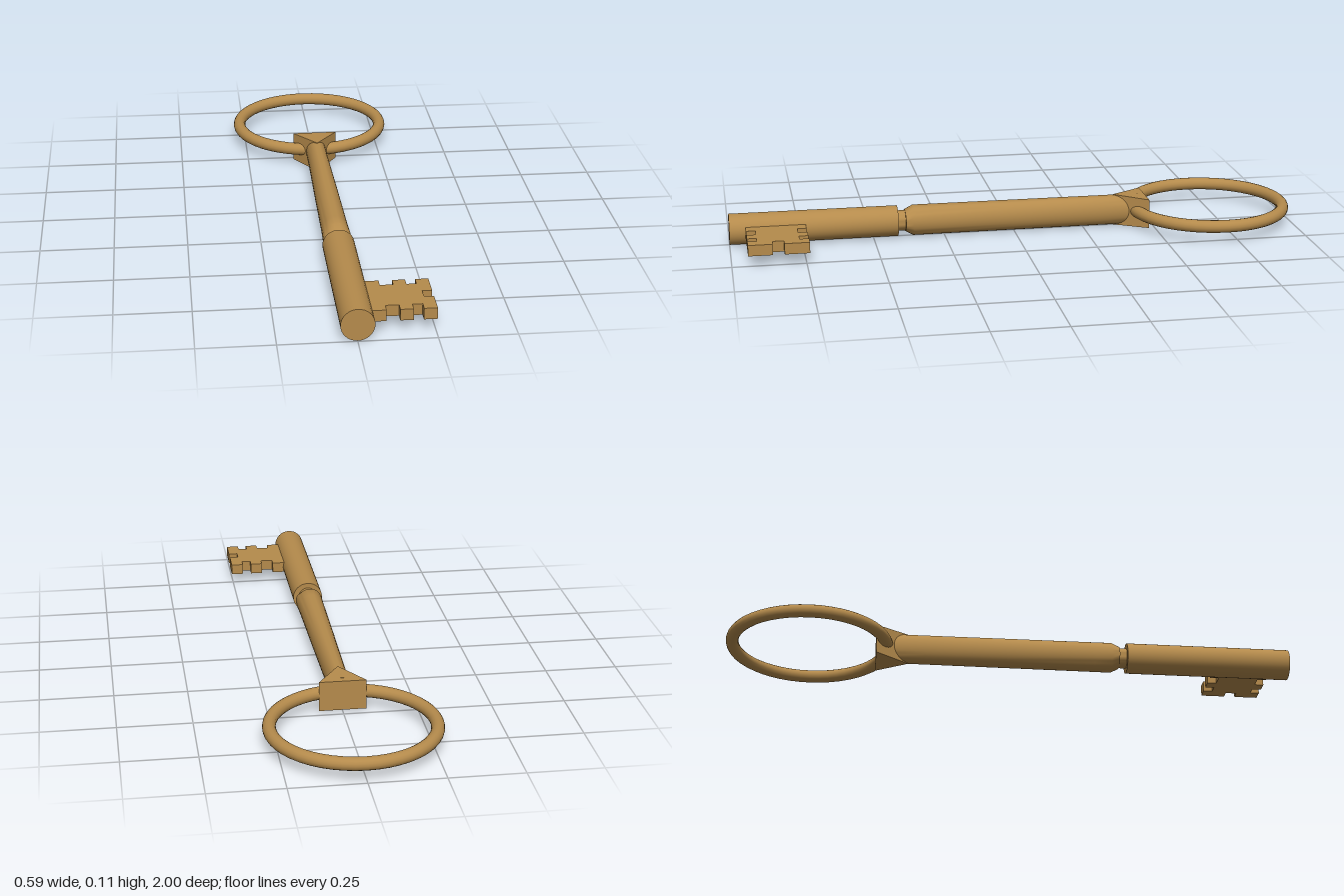
import * as THREE from 'three';
import { toCreasedNormals } from 'three/addons/utils/BufferGeometryUtils.js';

const AXIS_Y = 0.056; // height of the key's centre line

export function createModel() {
  const key = new THREE.Group();
  key.name = 'key';
  const brass = new THREE.MeshStandardMaterial({ color: 0xb58b4c });
  brass.name = 'brass';

  const add = (name, geometry, y = AXIS_Y, z = 0) => {
    const mesh = new THREE.Mesh(geometry, brass);
    mesh.name = name;
    mesh.position.set(0, y, z);
    key.add(mesh);
  };

  // Round rod along z from [z, half width, half height] sections, capped at both ends
  const rod = (sections) => {
    const first = sections[0], last = sections[sections.length - 1];
    const rows = [[first[0], 0, 0], ...sections, [last[0], 0, 0]];
    const geo = new THREE.LatheGeometry(rows.map(([z, , h]) => new THREE.Vector2(h, z)), 32);
    geo.rotateX(Math.PI / 2);
    const p = geo.attributes.position;
    for (let i = 0; i < p.count; i++) {
      const [, w, h] = rows[i % rows.length];
      if (h > 0) p.setX(i, p.getX(i) * w / h);
    }
    return toCreasedNormals(geo, 0.6);
  };

  // Flat plate from an [x, z] outline, centred on y = 0
  const plate = (outline, thickness) => {
    const shape = new THREE.Shape(outline.map(([x, z]) => new THREE.Vector2(x, z)));
    const geo = new THREE.ExtrudeGeometry(shape, { depth: thickness, bevelEnabled: false });
    geo.rotateX(Math.PI / 2);
    geo.translate(0, thickness / 2, 0);
    return geo;
  };

  // Front barrel, narrow neck and the flattened, tapering shank
  add('barrel', rod([[0.415, 0.054, 0.054], [1, 0.054, 0.054]]));
  add('neck', rod([[0.37, 0.034, 0.036], [0.43, 0.034, 0.036]]));
  add('shank', rod([
    [-0.45, 0.036, 0.054], [-0.3, 0.037, 0.054], [0, 0.042, 0.054],
    [0.3, 0.046, 0.054], [0.36, 0.048, 0.054], [0.388, 0.048, 0.038],
  ]));

  // Wedge gripping the ring, slightly taller at its forward edge
  const wedge = plate([[-0.08, -0.475], [0.08, -0.475], [0, -0.36]], 0.104);
  const p = wedge.attributes.position;
  for (let i = 0; i < p.count; i++) {
    if (p.getZ(i) > -0.4) p.setY(i, Math.sign(p.getY(i)) * 0.056);
  }
  wedge.computeVertexNormals();
  add('wedge', wedge);

  // Ring handle
  const ring = new THREE.TorusGeometry(0.271, 0.022, 16, 48);
  ring.rotateX(Math.PI / 2);
  add('ring', ring, AXIS_Y + 0.001, -0.707);

  // Notched bit
  add('bit', plate([
    [0.03, 0.738], [0.095, 0.738], [0.095, 0.77], [0.138, 0.77], [0.138, 0.738],
    [0.18, 0.738], [0.18, 0.77], [0.212, 0.77], [0.212, 0.738], [0.255, 0.738],
    [0.255, 0.823], [0.223, 0.823], [0.223, 0.862], [0.255, 0.862], [0.255, 0.945],
    [0.212, 0.945], [0.212, 0.913], [0.18, 0.913], [0.18, 0.945], [0.138, 0.945],
    [0.138, 0.913], [0.095, 0.913], [0.095, 0.945], [0.03, 0.945],
  ], 0.038));

  return key;
}
